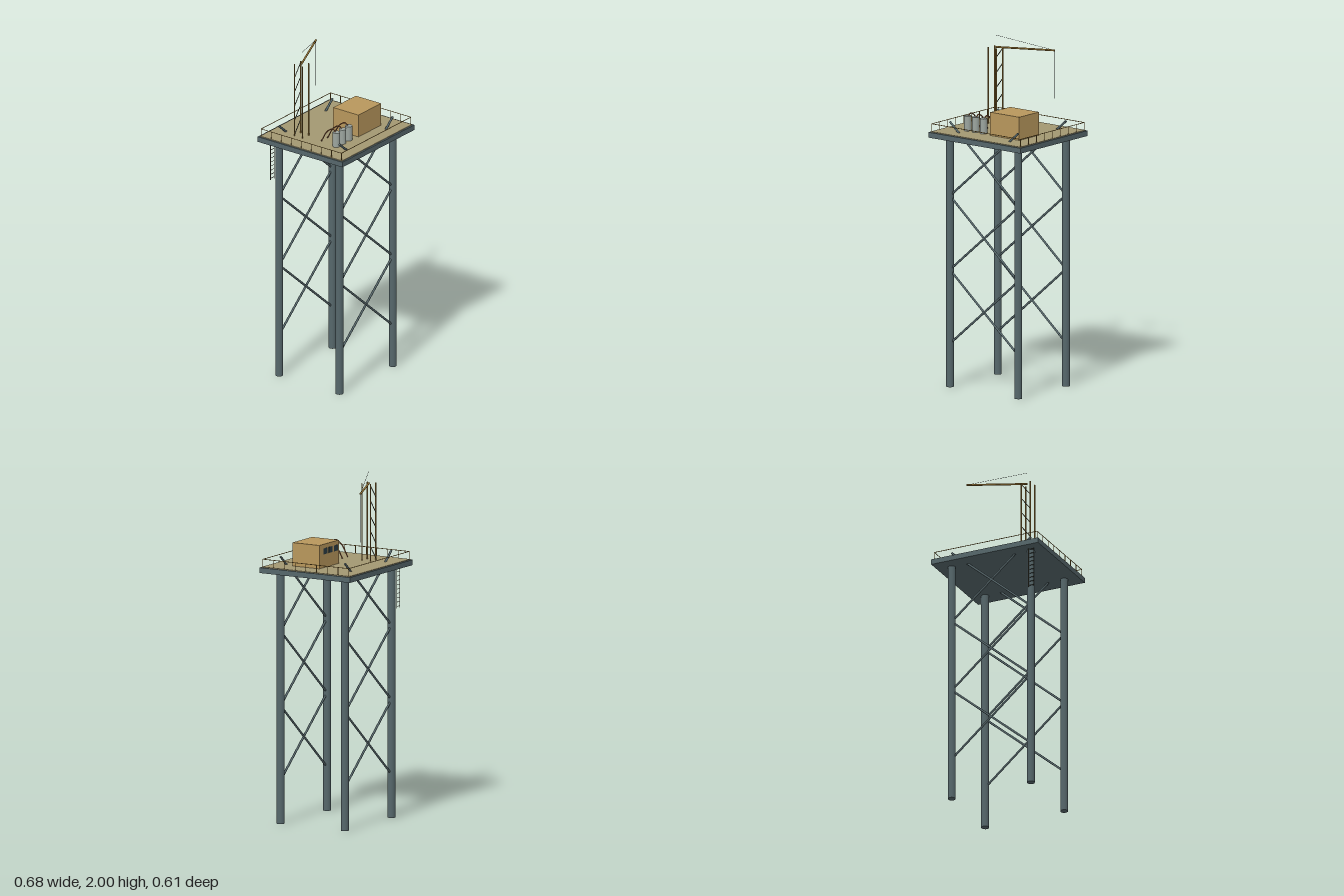
import * as THREE from 'three';

const mat = (color) => new THREE.MeshStandardMaterial({ color });

export function createModel() {
  const root = new THREE.Group();
  const steel = mat(0x56676b), deckTan = mat(0xa39872), houseTan = mat(0xb8975c);
  const yellow = mat(0xa07c38), dark = mat(0x4a4a3c), glass = mat(0x2c3c44);
  const tankGrey = mat(0x9ca59f), rust = mat(0x96603f), cableGrey = mat(0x555555);

  const group = (name) => {
    const g = new THREE.Group();
    g.name = name;
    root.add(g);
    return g;
  };
  const add = (parent, name, geometry, material) => {
    const m = new THREE.Mesh(geometry, material);
    m.name = name;
    parent.add(m);
    return m;
  };
  const box = (parent, name, material, [w, h, d], [x, y, z]) =>
    add(parent, name, new THREE.BoxGeometry(w, h, d), material).position.set(x, y, z);
  // Round bar between two points
  const bar = (parent, name, material, from, to, r, sides = 8) => {
    const a = new THREE.Vector3(...from), b = new THREE.Vector3(...to);
    const dir = b.clone().sub(a);
    const m = add(parent, name, new THREE.CylinderGeometry(r, r, dir.length(), sides), material);
    m.position.copy(a).add(b).multiplyScalar(0.5);
    m.quaternion.setFromUnitVectors(new THREE.Vector3(0, 1, 0), dir.normalize());
  };

  const legX = 0.25, legZ = 0.215, deckY = 1.485;

  // Legs and the crossed braces on the front and back
  const jacket = group('jacket');
  for (const z of [-legZ, legZ]) {
    for (const s of [-1, 1]) {
      bar(jacket, 'leg', steel, [s * legX, 0, z], [s * legX, 1.455, z], 0.0225, 20);
      for (let i = 0; i < 3; i++) {
        const y = 0.25 + i * 0.43;
        bar(jacket, 'brace', steel, [-s * legX, y, z], [s * legX, y + 0.43, z], 0.0063, 10);
      }
    }
  }

  // Deck
  const deck = group('deck');
  box(deck, 'deckFrame', steel, [0.675, 0.031, 0.606], [0, 1.4665, 0]);
  box(deck, 'deckPlate', deckTan, [0.656, 0.006, 0.586], [0, 1.483, 0]);

  // Railing: posts along the two sides, top rail all round
  const railing = group('railing');
  const rx = 0.325, rz = 0.287, railY = 1.53;
  for (const s of [-1, 1]) {
    bar(railing, 'sideRail', yellow, [s * rx, railY, -rz], [s * rx, railY, rz], 0.002, 6);
    bar(railing, 'endRail', yellow, [-rx, railY, s * rz], [rx, railY, s * rz], 0.002, 6);
    for (let i = 0; i <= 8; i++) {
      const z = -rz + (i * rz) / 4;
      bar(railing, 'railPost', yellow, [s * rx, deckY, z], [s * rx, railY, z], 0.002, 6);
    }
  }

  // Cabin with three windows at the back
  const cabin = group('cabin');
  box(cabin, 'cabinBody', houseTan, [0.212, 0.136, 0.18], [0.106, 1.553, 0.07]);
  for (let i = 0; i < 3; i++)
    box(cabin, 'window', glass, [0.041, 0.034, 0.004], [0.035 + i * 0.057, 1.58, -0.02]);

  // Tanks, each with a bent pipe down to the deck
  const tanks = group('tanks');
  for (let i = 0; i < 3; i++) {
    const x = -0.18 + i * 0.0575;
    bar(tanks, 'tank', tankGrey, [x, deckY, 0.14], [x, 1.573, 0.14], 0.021, 20);
    const path = new THREE.CatmullRomCurve3([
      new THREE.Vector3(x, 1.565, 0.14),
      new THREE.Vector3(x, 1.584, 0.115),
      new THREE.Vector3(x, 1.56, 0.075),
      new THREE.Vector3(x, 1.49, 0.033),
    ]);
    add(tanks, 'tankPipe', new THREE.TubeGeometry(path, 20, 0.0035, 8), rust);
  }

  // Crane tower, boom, stay and hoist cable
  const crane = group('crane');
  const topY = 1.93, x0 = -0.209, x1 = -0.151;
  for (const x of [x0, x1])
    for (const z of [-0.137, -0.08])
      bar(crane, 'towerPost', yellow, [x, deckY, z], [x, topY, z], 0.004);
  for (let i = 0; i < 5; i++) {
    const y = deckY + 0.01 + i * 0.088;
    bar(crane, 'towerLattice', dark, [x0, y, -0.137], [x1, y + 0.075, -0.137], 0.0025, 6);
  }
  const tip = [0.14, topY, -0.25];
  bar(crane, 'boom', yellow, [-0.178, topY, -0.11], tip, 0.0055);
  bar(crane, 'stay', cableGrey, [-0.18, 2, -0.108], tip, 0.001, 6);
  bar(crane, 'hoistCable', cableGrey, tip, [0.14, 1.65, -0.25], 0.0012, 6);

  // Ladder hanging below the deck
  const ladder = group('ladder');
  const lx0 = -0.286, lx1 = -0.252, lz = -0.25;
  for (const x of [lx0, lx1])
    bar(ladder, 'ladderRail', dark, [x, 1.21, lz], [x, 1.455, lz], 0.0018, 6);
  for (let i = 0; i < 10; i++) {
    const y = 1.22 + i * 0.025;
    bar(ladder, 'rung', dark, [lx0, y, lz], [lx1, y, lz], 0.0015, 6);
  }

  return root;
}
